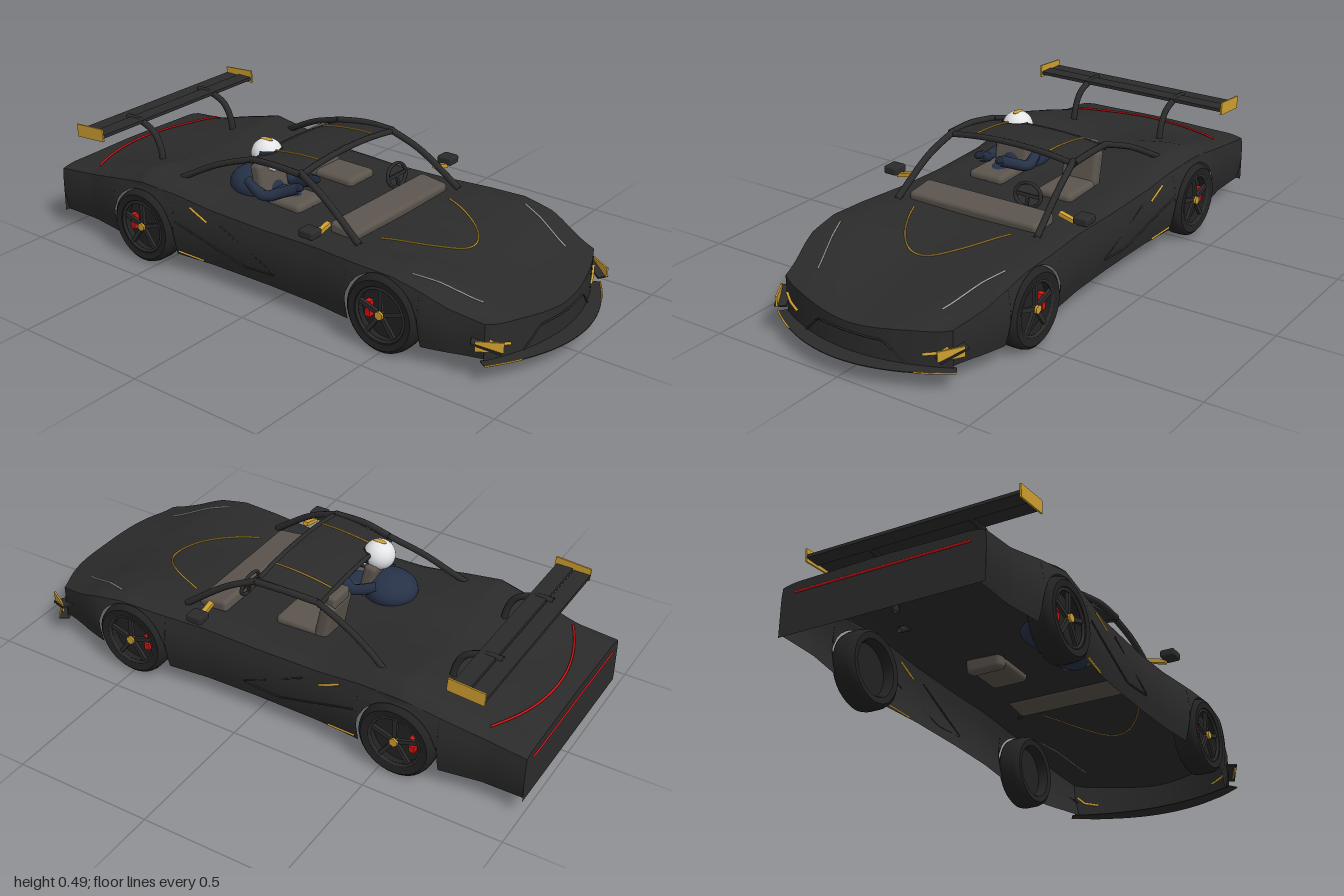
import * as THREE from 'three';
import { toCreasedNormals } from 'three/addons/utils/BufferGeometryUtils.js';
import { RoundedBoxGeometry } from 'three/addons/geometries/RoundedBoxGeometry.js';

const mat = (name, color, double) => {
  const m = new THREE.MeshStandardMaterial({ color });
  m.name = name;
  if (double) m.side = THREE.DoubleSide;
  return m;
};
const V = (x, y, z) => new THREE.Vector3(x, y, z);

// Body stations: x, half width, shoulder height, fender height, centre height
const STATIONS = [
  [-1, .37, .235, .245, .25], [-.85, .37, .25, .265, .268], [-.7, .395, .28, .305, .285],
  [-.56, .41, .305, .34, .30], [-.42, .397, .295, .325, .30], [-.25, .382, .275, .297, .287],
  [0, .378, .27, .285, .283], [.2, .382, .275, .285, .285], [.4, .403, .28, .29, .28],
  [.54, .41, .282, .288, .262], [.66, .40, .26, .265, .235], [.78, .375, .228, .226, .203],
  [.94, .335, .195, .185, .165]];
const WHEELS = [-.558, .5], AXLE = .137, ARCH = .147, SILL = .065;

function station(s) {
  let i = 0;
  while (i < STATIONS.length - 2 && s > STATIONS[i + 1][0]) i++;
  const a = STATIONS[i], b = STATIONS[i + 1], t = (s - a[0]) / (b[0] - a[0]);
  const [, w, ysh, yt, yc] = a.map((v, k) => THREE.MathUtils.lerp(v, b[k], t));
  let yb = SILL;
  for (const c of WHEELS) {
    const d = Math.abs(s - c);
    if (d < ARCH) yb = Math.min(AXLE - .006 + Math.sqrt(ARCH * ARCH - d * d), ysh - .003);
  }
  return { w, ysh, yt, yc, yb, bow: .09 * THREE.MathUtils.smoothstep(s, .6, .94) };
}
const sideWidth = y => Math.max(.95, 1 - .04 * ((y - .18) / .1) ** 2);
function topHeight(p, v) {
  const a = Math.abs(v), vm = sideWidth(p.ysh);
  if (a < .8) return p.yc + (p.yt - p.yc) * THREE.MathUtils.smoothstep(a, 0, .8);
  return p.yt + (p.ysh - p.yt) * ((a - .8) / (vm - .8)) ** 2;
}
// Point just above the top skin
function onTop(x, z) {
  let s = x;
  for (let k = 0; k < 5; k++) { const p = station(s); s = Math.min(.94, x + p.bow * (z / p.w) ** 2); }
  const p = station(s);
  return V(x, topHeight(p, z / p.w) + .002, z);
}
const onNose = (y, z) => V(.943 - .09 * (z / .335) ** 2, y, z);
const onSide = (x, y, k) => V(x, y, k * (station(x).w * sideWidth(y) + .001));

function bodyGeometry() {
  const xs = [];
  for (let i = 0; i <= 97; i++) xs.push(-1 + i * .02);
  for (const c of WHEELS) for (const d of [-.1471, -.1469, -.143, .143, .1469, .1471]) xs.push(c + d);
  xs.sort((a, b) => a - b);
  const pos = [], idx = [], SIDE = 5, TOP = 24;
  let n = 0;
  xs.forEach(s => {
    const p = station(s), row = [], vm = sideWidth(p.ysh);
    const add = (v, y) => row.push([s - p.bow * v * v, y, v * p.w]);
    for (let j = 0; j < SIDE; j++) { const y = p.yb + (p.ysh - p.yb) * j / SIDE; add(sideWidth(y), y); }
    for (let j = 0; j <= TOP; j++) { const v = vm * (1 - 2 * j / TOP); add(v, topHeight(p, v)); }
    for (let j = SIDE - 1; j >= 0; j--) { const y = p.yb + (p.ysh - p.yb) * j / SIDE; add(-sideWidth(y), y); }
    n = row.length;
    pos.push(...row.flat());
  });
  const strip = (a, b) => {
    for (let j = 0; j < n - 1; j++) idx.push(a + j, b + j, a + j + 1, b + j, b + j + 1, a + j + 1);
  };
  for (let i = 0; i < xs.length - 1; i++) strip(i * n, (i + 1) * n);
  // Tail panel and front bumper drop from the end outlines to the sill
  const drop = start => {
    const at = pos.length / 3;
    for (let j = 0; j < n; j++) pos.push(pos[(start + j) * 3], SILL, pos[(start + j) * 3 + 2]);
    return at;
  };
  const last = (xs.length - 1) * n;
  strip(drop(0), 0);
  strip(last, drop(last));
  const g = new THREE.BufferGeometry();
  g.setAttribute('position', new THREE.Float32BufferAttribute(pos, 3));
  g.setIndex(idx);
  return toCreasedNormals(g, .6);
}

export function createModel() {
  const car = new THREE.Group();
  car.name = 'sportsCar';
  const black = mat('bodyBlack', 0x2b2b2b, true), rubber = mat('tyreBlack', 0x222222);
  const gold = mat('gold', 0xd0a030), red = mat('red', 0xd01414), silver = mat('silver', 0xb4b4b8);
  const trim = mat('upholstery', 0x5c554e), navy = mat('suitNavy', 0x273248);
  const white = mat('helmetWhite', 0xe4e6e8), visor = mat('visorDark', 0x1c2534);

  const add = (name, geo, m, x = 0, y = 0, z = 0, parent = car) => {
    const o = new THREE.Mesh(geo, m);
    o.name = name;
    o.position.set(x, y, z);
    parent.add(o);
    return o;
  };
  const tube = (name, pts, r, m, straight) => {
    const path = new THREE.CurvePath();
    if (straight) for (let i = 1; i < pts.length; i++) path.add(new THREE.LineCurve3(pts[i - 1], pts[i]));
    const curve = straight ? path : new THREE.CatmullRomCurve3(pts);
    return add(name, new THREE.TubeGeometry(curve, 36, r, 8), m);
  };
  const line = (f, a, b, n = 20) => Array.from({ length: n + 1 }, (_, i) => f(a + (b - a) * i / n));

  add('bodyShell', bodyGeometry(), black);

  // Front splitter
  const lip = new THREE.Shape();
  lip.moveTo(.84, -.34);
  line(z => [1 - .13 * (z / .36) ** 2, z], -.36, .36).forEach(p => lip.lineTo(...p));
  lip.lineTo(.84, .34);
  line(z => [.92 - .08 * (z / .34) ** 2, z], .34, -.34).forEach(p => lip.lineTo(...p));
  add('splitter', new THREE.ExtrudeGeometry(lip, { depth: .003, bevelEnabled: false }).rotateX(Math.PI / 2), black, 0, SILL + .002);

  // Painted lines on the deck, tail and nose
  tube('hoodStripe', line(z => onTop(.585 - .235 * (z / .2) ** 2, z), -.2, .2), .003, gold);
  tube('deckLight', line(z => onTop(-.94 + .09 * (z / .32) ** 2, z).add(V(0, .004, 0)), -.32, .32), .004, red);
  tube('tailLight', [V(-1, .21, -.32), V(-1, .21, .32)], .004, red, true);
  tube('grilleFrame', [...line(z => onNose(.068 + .067 * Math.min(1, (.2 - Math.abs(z)) / .07), z), -.2, .2)], .003, black);

  for (const k of [-1, 1]) {
    const side = k > 0 ? 'left' : 'right';
    tube(side + 'Headlight', line(t => onTop(.575 + .215 * t, k * (.335 - .085 * t)), 0, 1), .003, silver);
    tube(side + 'NoseLamp', [[.14, .325], [.117, .3], [.107, .25]].map(([y, z]) => onNose(y, k * z)), .005, gold, true);
    tube(side + 'SplitterEdge', line(z => V(1 - .13 * (z / .36) ** 2, SILL + .001, z), k * .25, k * .36), .003, gold);
    const fin = add(side + 'Canard', new THREE.BoxGeometry(.1, .006, .04), black, .86, .125, k * .34);
    fin.rotation.set(0, k * .5, -.3);
    const finTip = add(side + 'CanardTip', new THREE.BoxGeometry(.09, .035, .006), gold, .875, .13, k * .345);
    finTip.rotation.y = k * .55;
    tube(side + 'FenderMark', [onSide(-.34, .265, k), onSide(-.26, .23, k)], .004, gold, true);
    tube(side + 'SillMark', line(x => onSide(x, .078 - (x + .4) * .07, k), -.4, -.29, 4), .004, gold);
    tube(side + 'DoorCrease', [[-.4, .2], [-.1, .11], [.05, .12], [-.2, .235]].map(p => onSide(...p, k)), .003, black, true);

    // Roof pillars and rails
    tube(side + 'FrontPillar', [V(.05, .46, k * .25), V(.17, .405, k * .27), V(.33, .29, k * .288)], .012, black);
    tube(side + 'RearPillar', [V(-.17, .445, k * .24), V(-.3, .40, k * .262), V(-.4, .35, k * .28), V(-.47, .31, k * .3)], .011, black);
    tube(side + 'RoofRail', [V(-.17, .445, k * .24), V(-.06, .457, k * .255), V(.06, .455, k * .258)], .012, black);
    tube(side + 'RoofStripe', line(x => V(x, roofHeight(x, .15) + .008, k * .15), -.17, .05, 6), .003, gold);

    // Mirrors
    add(side + 'Mirror', new RoundedBoxGeometry(.06, .03, .055, 2, .008), black, .21, .338, k * .393);
    const arm = add(side + 'MirrorArm', new THREE.BoxGeometry(.018, .014, .075), gold, .215, .33, k * .338);
    arm.rotation.x = k * .25;

    // Wing stays and end plates
    tube(side + 'WingStay', [V(-.82, .432, k * .19), V(-.75, .428, k * .19), V(-.69, .4, k * .19), V(-.66, .35, k * .19), V(-.645, .27, k * .19)], .012, black);
    const plate = add(side + 'WingEndPlate', new THREE.BoxGeometry(.13, .047, .006), gold, -.797, .437, k * .4);
    plate.rotation.z = .07;
  }

  // Rear wing planks
  for (const x of [-.832, -.768]) add('wingPlank', new THREE.BoxGeometry(.06, .012, .796), black, x, .43 + (x + .8) * .08);

  // Roof panel and windscreen hoop
  const roof = new THREE.BoxGeometry(.23, .01, .52, 8, 1, 20), rp = roof.attributes.position;
  for (let i = 0; i < rp.count; i++) {
    const x = rp.getX(i) - .06, z = rp.getZ(i) * (.95 + x * .4);
    rp.setXYZ(i, x, rp.getY(i) + roofHeight(x, z), z);
  }
  roof.computeVertexNormals();
  add('roofPanel', roof, black);
  tube('windscreenHoop', line(z => V(.06, roofHeight(.06, z), z), -.262, .262), .011, black);
  tube('rearHoop', line(z => V(-.175, roofHeight(-.175, z), z), -.24, .24), .008, black);

  // Dashboard, steering wheel and seats
  const dash = add('dashboard', new RoundedBoxGeometry(.115, .045, .525, 3, .015), trim, .242, .297);
  dash.rotation.z = -.12;
  const steering = new THREE.Group();
  steering.name = 'steeringWheel';
  steering.position.set(.165, .348, -.142);
  steering.rotation.z = .2;
  car.add(steering);
  add('steeringRim', new THREE.TorusGeometry(.052, .007, 8, 32).rotateY(Math.PI / 2).scale(1, .8, 1), black, 0, 0, 0, steering);
  add('steeringSpoke', new THREE.BoxGeometry(.008, .012, .1), black, 0, 0, 0, steering);
  add('steeringPost', new THREE.BoxGeometry(.008, .045, .012), black, 0, -.02, 0, steering);
  for (const z of [-.145, .145]) {
    const back = add('seatBack', new RoundedBoxGeometry(.05, .17, .142, 3, .018), trim, -.17, .33, z);
    back.rotation.z = .2;
    add('headrest', new RoundedBoxGeometry(.04, .045, .1, 3, .012), trim, -.19, .42, z);
    add('seatCushion', new RoundedBoxGeometry(.17, .05, .142, 3, .018), trim, -.07, .285, z);
  }

  // Driver
  const ball = new THREE.SphereGeometry(1, 32, 20);
  add('driverTorso', ball, navy, -.235, .31, .14).scale.set(.1, .065, .092);
  add('driverLegs', ball, navy, -.14, .275, .14).scale.set(.16, .045, .07);
  for (const k of [-1, 1]) {
    tube('driverArm', [V(-.22, .34, .14 + k * .065), V(-.13, .315, .14 + k * .085), V(-.07, .335, .14 + k * .06), V(-.01, .362, .14 + k * .045)], .02, navy);
    add('driverGlove', ball, visor, -.012, .363, .14 + k * .045).scale.set(.022, .014, .016);
  }
  add('helmet', ball, white, -.188, .432, .14).scale.set(.057, .054, .055);
  add('helmetChin', new RoundedBoxGeometry(.06, .035, .06, 3, .014), white, -.158, .398, .14);
  add('visor', new THREE.SphereGeometry(1, 24, 10, Math.PI * .55, Math.PI * .9, Math.PI * .35, Math.PI * .27), visor, -.186, .432, .14).scale.set(.062, .058, .058);
  add('helmetBadge', ball, gold, -.188, .484, .14).scale.set(.026, .005, .01);

  // Wheels
  const tyre = new THREE.LatheGeometry([[.092, -.04], [.122, -.045], [.133, -.036], [.137, -.02], [.137, .02], [.133, .036],
    [.122, .045], [.1, .042], [.094, .034], [.092, -.04]].map(p => new THREE.Vector2(...p)), 40).rotateX(Math.PI / 2);
  const tyreGeo = toCreasedNormals(tyre, .7);
  for (const x of WHEELS) for (const k of [-1, 1]) {
    const wheel = new THREE.Group();
    wheel.name = (x > 0 ? 'front' : 'rear') + (k > 0 ? 'Left' : 'Right') + 'Wheel';
    wheel.position.set(x, AXLE, k * .364);
    car.add(wheel);
    add('tyre', tyreGeo, rubber, 0, 0, 0, wheel);
    add('brakeDisc', new THREE.CylinderGeometry(.093, .093, .012, 32).rotateX(Math.PI / 2), rubber, 0, 0, 0, wheel);
    add('rimRing', new THREE.TorusGeometry(.093, .006, 8, 40), black, 0, 0, k * .036, wheel);
    for (const y of [-.016, .016]) add('caliper', new THREE.BoxGeometry(.02, .024, .022), red, -.058, y, k * .016, wheel);
    for (let i = 0; i < 5; i++) {
      const a = Math.PI / 2 + i * Math.PI * .4;
      const spoke = add('spoke', new THREE.BoxGeometry(.085, .015, .012), black, Math.cos(a) * .05, Math.sin(a) * .05, k * .032, wheel);
      spoke.rotation.z = a;
    }
    add('hubCap', new THREE.CylinderGeometry(.016, .016, .02, 6).rotateX(Math.PI / 2), gold, 0, 0, k * .036, wheel);
  }
  return car;
}

function roofHeight(x, z) {
  return .472 - .5 * (x - .04) ** 2 - .022 * (z / .26) ** 2;
}
